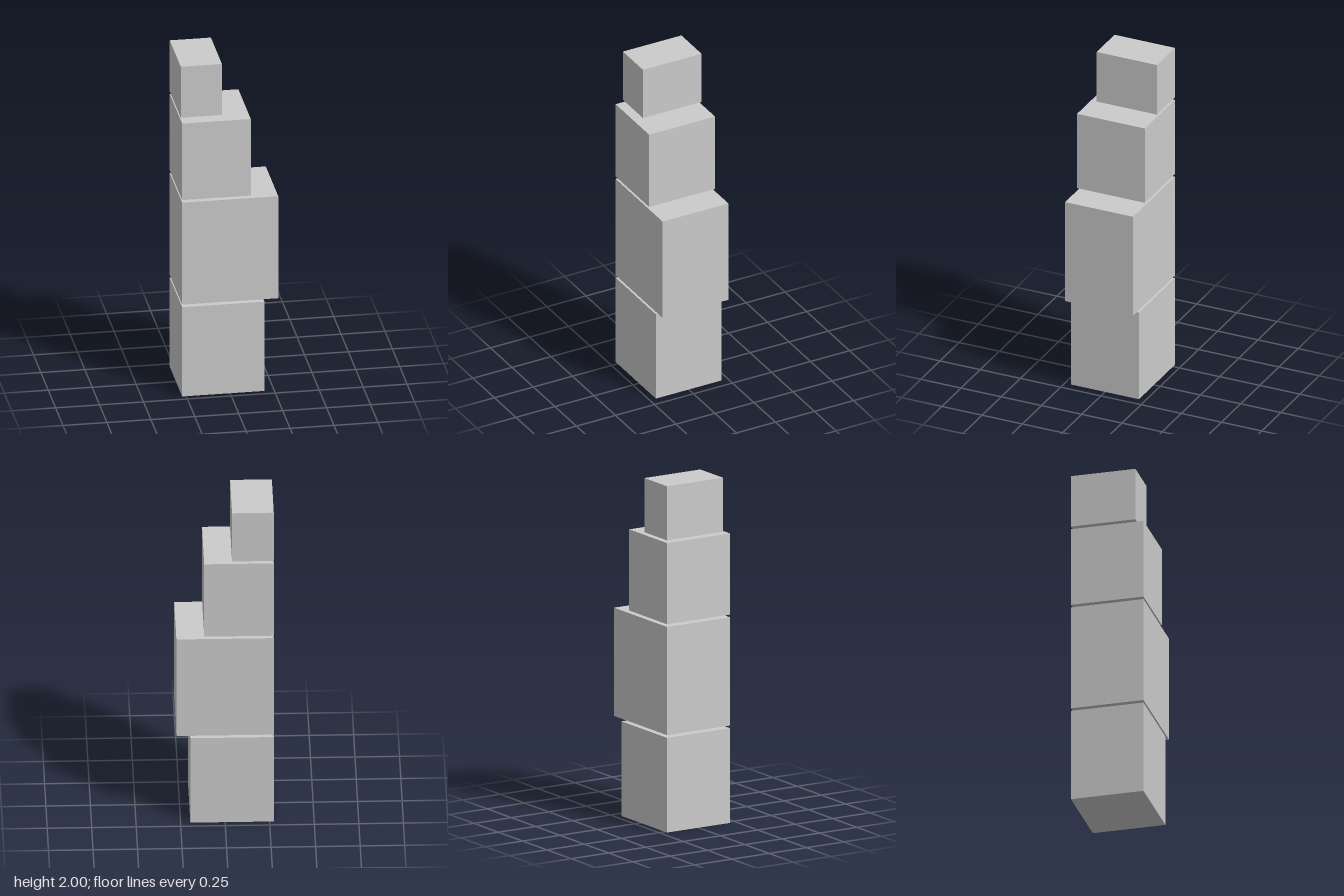
import * as THREE from 'three';

// All sizes are in whole units; 128 units make the full height of 2.
const UNIT = 1 / 64;
const GAP = 1;

// Boxes from bottom to top: name, width, height, depth
const BOXES = [
  ['bottomBox', 30, 35, 27],
  ['largeBox', 35, 40, 27],
  ['mediumBox', 25, 30, 27],
  ['topBox', 15, 20, 24],
];

export function createModel() {
  const model = new THREE.Group();
  model.name = 'boxStack';
  const material = new THREE.MeshStandardMaterial({ color: 0xcccccc, flatShading: true });

  // Every box is flush with the same side and back plane
  const sideX = -35 / 2;
  const backZ = -27 / 2;
  let y = 0;

  for (const [name, w, h, d] of BOXES) {
    const geometry = new THREE.BoxGeometry(w * UNIT, h * UNIT, d * UNIT);
    const box = new THREE.Mesh(geometry, material);
    box.name = name;
    box.position.set(sideX + w / 2, y + h / 2, backZ + d / 2).multiplyScalar(UNIT);
    model.add(box);
    y += h + GAP; // narrow gap between neighbouring boxes
  }
  return model;
}
